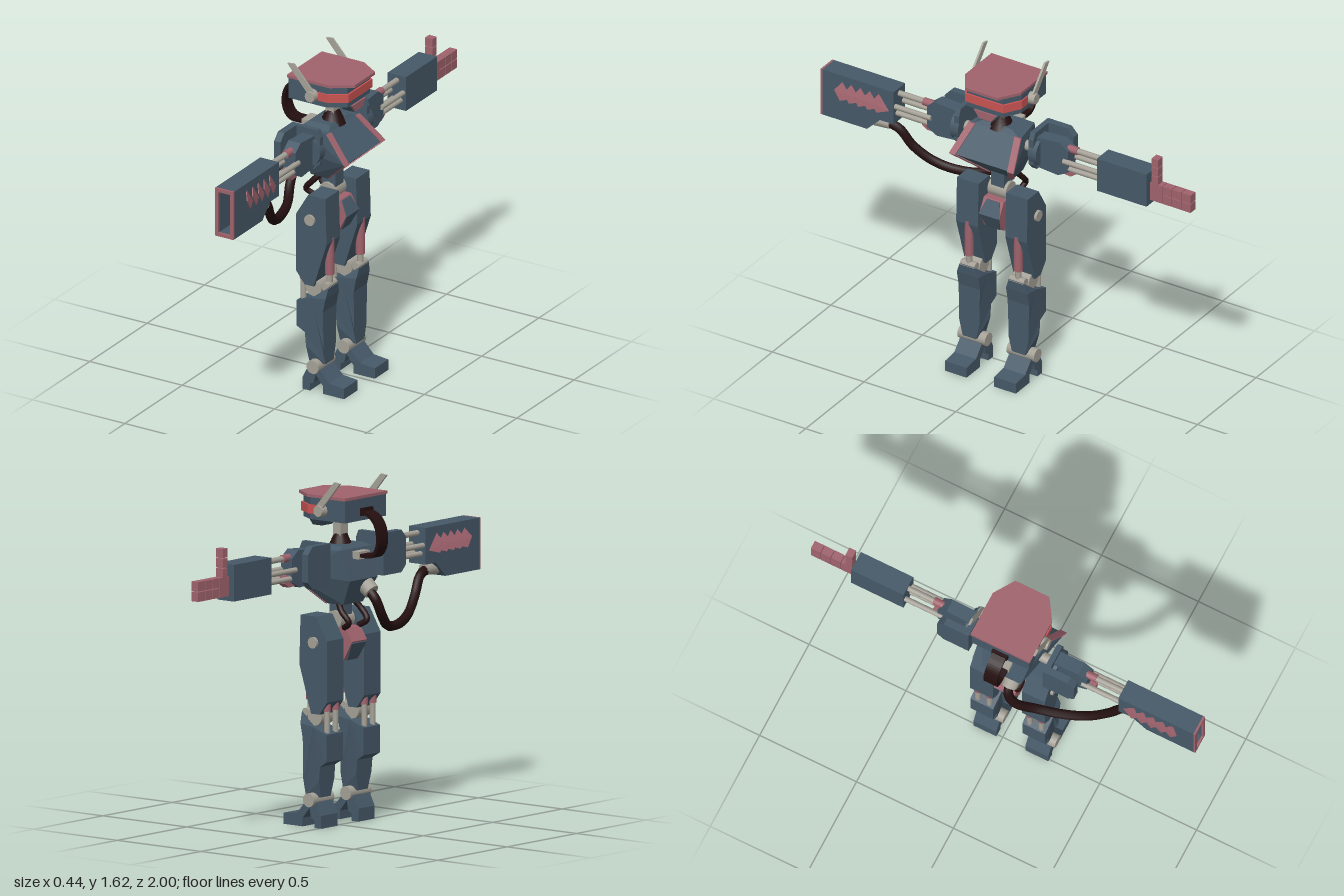
import * as THREE from 'three';
import { ConvexGeometry } from 'three/addons/geometries/ConvexGeometry.js';

const material = (name, color) => {
  const m = new THREE.MeshStandardMaterial({ color });
  m.name = name;
  return m;
};

export function createModel() {
  const blue = material('slate blue armour', 0x465968);
  const pink = material('dusty pink trim', 0xa0636d);
  const red = material('red visor', 0xc95452);
  const grey = material('warm grey metal', 0xa5a197);
  const dark = material('dark rubber', 0x240f10);

  const root = new THREE.Group();
  root.name = 'robot';
  // The body's middle plane lies a little left of centre; parts use z from that plane
  const body = new THREE.Group();
  body.name = 'body';
  body.position.z = 0.047;
  root.add(body);

  const V = (p) => new THREE.Vector3(...p);
  const add = (name, geo, mat) => {
    const mesh = new THREE.Mesh(geo, mat);
    mesh.name = name;
    body.add(mesh);
    return mesh;
  };
  const box = (name, mat, x0, x1, y0, y1, z0, z1) => {
    const g = new THREE.BoxGeometry(Math.abs(x1 - x0), Math.abs(y1 - y0), Math.abs(z1 - z0));
    return add(name, g.translate((x0 + x1) / 2, (y0 + y1) / 2, (z0 + z1) / 2), mat);
  };
  const shape = (pts) => new THREE.Shape(pts.map(([a, b]) => new THREE.Vector2(a, b)));
  // Side profile in x,y, thick in z
  const side = (name, mat, pts, depth, z) => {
    const g = new THREE.ExtrudeGeometry(shape(pts), { depth, bevelEnabled: false });
    return add(name, g.translate(0, 0, z - depth / 2), mat);
  };
  // Profile in z,y, thick in x
  const front = (name, mat, pts, depth, x) => {
    const g = new THREE.ExtrudeGeometry(shape(pts), { depth, bevelEnabled: false });
    return add(name, g.translate(0, 0, -depth / 2).rotateY(-Math.PI / 2).translate(x, 0, 0), mat);
  };
  const rod = (name, mat, a, b, r, r2 = r, sides = 12) => {
    const p = V(a), q = V(b), d = q.clone().sub(p);
    const mesh = add(name, new THREE.CylinderGeometry(r2, r, d.length(), sides), mat);
    mesh.position.copy(p).add(q).multiplyScalar(0.5);
    mesh.quaternion.setFromUnitVectors(new THREE.Vector3(0, 1, 0), d.normalize());
    return mesh;
  };
  const hose = (name, pts, r, n = 48) =>
    add(name, new THREE.TubeGeometry(new THREE.CatmullRomCurve3(pts.map(V)), n, r, 8), dark);
  // Convex block from x,y,halfWidth points mirrored over the middle plane
  const block = (name, mat, pts) =>
    add(name, new ConvexGeometry(pts.flatMap(([x, y, w]) => [V([x, y, w]), V([x, y, -w])])), mat);
  const flat = (name, mat, pts, depth, y) => { // outline in x,z, thick in y
    const g = new THREE.ExtrudeGeometry(shape(pts), { depth, bevelEnabled: false });
    return add(name, g.rotateX(Math.PI / 2).translate(0, y, 0), mat);
  };

  // Head with cut front corners
  const octagon = (x0, x1, w, cx, cz) =>
    [[x0, -w], [x1 - cx, -w], [x1, -w + cz], [x1, w - cz], [x1 - cx, w], [x0, w]];
  flat('head', blue, octagon(-0.115, 0.175, 0.148, 0.08, 0.05), 0.103, 1.53);
  flat('headTop', pink, octagon(-0.12, 0.208, 0.153, 0.1, 0.065), 0.014, 1.544);
  flat('visor', red, octagon(0.05, 0.183, 0.154, 0.08, 0.05), 0.042, 1.496);
  block('jaw', blue, [[0.06, 1.43, 0.07], [0.165, 1.43, 0.07], [0.17, 1.415, 0.065],
    [0.17, 1.38, 0.035], [0.115, 1.38, 0.035]]);
  front('jawPlate', pink, [[-0.06, 1.42], [0.06, 1.42], [0.033, 1.383], [-0.033, 1.383]], 0.008, 0.172);
  for (const s of [-1, 1]) {
    rod('ear', grey, [0.02, 1.474, s * 0.14], [0.02, 1.474, s * 0.182], 0.032, 0.026);
    side('antenna', grey, [[0, 1.49], [-0.105, 1.613], [-0.07, 1.617], [0.035, 1.5]], 0.01, s * 0.168);
  }

  // Neck post and bellows
  box('neckPost', grey, 0.012, 0.056, 1.33, 1.43, -0.028, 0.028);
  for (let i = 0; i < 5; i++) {
    const r = 0.062 - i * 0.006;
    add('neckBellows', new THREE.CylinderGeometry(r * 0.8, r, 0.015, 16).translate(0.034, 1.29 + i * 0.013, 0), dark);
  }

  // Flat cable behind the head: a ribbon outline given width
  const cable = new THREE.CatmullRomCurve3([[-0.12, 1.467, 0], [-0.17, 1.447, 0], [-0.205, 1.4, 0],
    [-0.212, 1.32, 0], [-0.18, 1.268, 0], [-0.1, 1.262, 0]].map(V));
  const outer = [], inner = [];
  for (let i = 0; i <= 24; i++) {
    const p = cable.getPoint(i / 24), t = cable.getTangent(i / 24);
    outer.push([p.x - t.y * 0.008, p.y + t.x * 0.008]);
    inner.unshift([p.x + t.y * 0.008, p.y - t.x * 0.008]);
  }
  side('headCable', dark, [...outer, ...inner], 0.068, 0);
  box('cableSocket', dark, -0.13, -0.11, 1.45, 1.485, -0.04, 0.04);
  box('cablePort', grey, -0.11, -0.07, 1.245, 1.28, -0.04, 0.04);

  // Chest wedge and its trim
  block('torso', blue, [[-0.06, 1.29, 0.12], [0.085, 1.285, 0.14], [0.203, 1.167, 0.17],
    [0.05, 1.03, 0.075], [-0.105, 1.15, 0.1], [-0.04, 1.03, 0.07]]);
  block('collar', blue, [[-0.06, 1.285, 0.12], [0.085, 1.285, 0.12], [-0.04, 1.305, 0.08], [0.07, 1.305, 0.08]]);
  for (const s of [-1, 1]) {
    const strip = (a, b) => {
      const pts = [a, b].flatMap(([x, y, w0, w1]) =>
        [0, 0.008].flatMap((d) => [V([x + d, y, s * w0]), V([x + d, y, s * w1])]));
      add('chestTrim', new ConvexGeometry(pts), pink);
    };
    strip([0.087, 1.285, 0.108, 0.143], [0.203, 1.167, 0.142, 0.176]);
    strip([0.203, 1.167, 0.142, 0.176], [0.05, 1.03, 0.05, 0.08]);
  }

  // Waist, pelvis and hoses
  box('waist', blue, -0.005, 0.07, 0.95, 1.07, -0.035, 0.035);
  rod('waistJoint', grey, [0.033, 0.95, -0.05], [0.033, 0.95, 0.05], 0.045);
  side('pelvis', pink, [[-0.04, 0.92], [0.1, 0.92], [0.14, 0.85], [0.1, 0.77], [-0.03, 0.77], [-0.08, 0.86]], 0.108, 0);
  for (const [m, x] of [[0.033, 1], [0.033, -1]]) {
    block('pelvisGuard', blue, [[m + x * 0.06, 0.915, 0.035], [m + x * 0.075, 0.915, 0.035],
      [m + x * 0.112, 0.85, 0.055], [m + x * 0.07, 0.768, 0.035], [m + x * 0.055, 0.768, 0.035]]);
  }
  rod('hosePort', grey, [-0.06, 1.13, 0.045], [-0.115, 1.085, 0.045], 0.045, 0.038);
  hose('cannonHose', [[-0.09, 1.1, 0.045], [-0.135, 1.05, 0.05], [-0.14, 0.97, 0.09], [-0.1, 0.91, 0.18],
    [-0.065, 0.9, 0.3], [-0.03, 0.93, 0.41], [0.005, 1.0, 0.5], [0.025, 1.08, 0.56], [0.035, 1.105, 0.62]], 0.023, 80);
  for (const s of [-1, 1]) {
    hose('waistHose', [[0.02, 1.06, s * 0.04], [-0.03, 1.0, s * 0.07], [-0.07, 0.95, s * 0.065],
      [-0.03, 0.92, s * 0.05]], 0.014, 24);
  }

  // Legs
  const shinHalf = (y) => (y > 0.5 ? 0.04 : y > 0.29 ? 0.059 : y > 0.2 ? 0.055 : 0.036);
  for (const s of [-1, 1]) {
    const z = s * 0.134;
    side('thigh', blue, [[-0.045, 0.876], [0.02, 0.985], [0.113, 0.985], [0.12, 0.756], [0.05, 0.53],
      [0, 0.53], [-0.045, 0.59]], 0.118, z);
    rod('hipAxle', grey, [0.033, 0.863, s * 0.045], [0.033, 0.863, s * 0.206], 0.027);
    rod('thighPiston', pink, [0.1, 0.77, z], [0.1, 0.585, z], 0.022);
    rod('pistonRod', grey, [0.1, 0.6, z], [0.1, 0.5, z], 0.015);
    rod('pistonFoot', grey, [0.1, 0.53, z - 0.04], [0.1, 0.53, z + 0.04], 0.02);
    rod('knee', grey, [0.04, 0.515, z - 0.045], [0.04, 0.515, z + 0.045], 0.042);
    for (const d of [-0.03, 0.03]) {
      rod('calfRod', grey, [-0.022, 0.56, z + d], [-0.022, 0.42, z + d], 0.014);
      rod('calfSleeve', pink, [-0.02, 0.6, z + d], [-0.022, 0.545, z + d], 0.018);
    }
    const shin = side('shin', blue, [[0.12, 0.534], [0.114, 0.48], [0.1, 0.41], [0.1, 0.29], [0.1, 0.22], [0.1, 0.14],
      [0.012, 0.14], [0.006, 0.22], [0, 0.286], [-0.042, 0.312], [-0.042, 0.44], [0.04, 0.47]], 0.118, 0);
    const p = shin.geometry.attributes.position;
    for (let i = 0; i < p.count; i++) p.setZ(i, Math.sign(p.getZ(i)) * shinHalf(p.getY(i)));
    shin.geometry.computeVertexNormals();
    shin.position.z = z;
    rod('ankle', grey, [0.053, 0.128, z - 0.075], [0.053, 0.128, z + 0.075], 0.033);
    side('foot', blue, [[-0.01, 0], [-0.01, 0.06], [0.02, 0.12], [0.085, 0.115], [0.135, 0.06], [0.215, 0.052],
      [0.215, 0], [0.1, 0], [0.1, 0.04], [0.06, 0.09], [0.05, 0.045], [0.03, 0.035], [0.03, 0]], 0.118, z);
  }

  // Shoulders, upper arms and elbow linkages
  const ax = 0.037;
  for (const s of [-1, 1]) {
    const m = (pts) => pts.map(([a, b]) => [a * s, b]);
    rod('shoulderAxle', grey, [ax, 1.225, s * 0.1], [ax, 1.225, s * 0.2], 0.025);
    side('shoulderPlate', blue, [[-0.065, 1.137], [-0.065, 1.335], [0.085, 1.335], [0.1, 1.3], [0.1, 1.17], [0.07, 1.137]],
      0.026, s * 0.203);
    front('shoulderGuard', blue, m([[0.19, 1.137], [0.19, 1.335], [0.32, 1.335], [0.353, 1.3], [0.353, 1.17], [0.32, 1.137]]),
      0.035, -0.047);
    rod('shoulderDisc', blue, [ax, 1.225, s * 0.19], [ax, 1.225, s * 0.235], 0.073, 0.073, 20);
    front('upperArm', blue, m([[0.21, 1.15], [0.21, 1.305], [0.34, 1.315], [0.385, 1.28], [0.385, 1.17], [0.33, 1.14]]),
      0.066, ax);
    rod('upperLink', grey, [ax, 1.28, s * 0.35], [ax, 1.28, s * 0.57], 0.014);
    rod('elbowPiston', pink, [ax, 1.28, s * 0.37], [ax, 1.28, s * 0.42], 0.019);
    front('elbowFork', pink, m([[0.34, 1.15], [0.38, 1.2], [0.42, 1.2], [0.42, 1.165], [0.39, 1.145]]), 0.04, ax);
    for (const d of [-0.034, 0.034]) {
      rod('elbowRod', grey, [ax + d, 1.225, s * 0.36], [ax + d, 1.225, s * 0.57], 0.013);
      rod('elbowRod', grey, [ax + d * 0.6, 1.185, s * 0.38], [ax + d * 0.6, 1.185, s * 0.57], 0.013);
    }
  }

  // Right forearm and hand
  box('forearm', blue, -0.012, 0.087, 1.137, 1.308, -0.824, -0.553);
  box('palm', pink, 0.017, 0.058, 1.16, 1.252, -0.89, -0.82);
  for (let j = 0; j < 3; j++) {
    for (const y of [1.16, 1.208]) {
      const z = -0.893 - j * 0.052;
      box('finger', pink, 0.017, 0.058, y, y + 0.044, z, z - 0.049);
    }
    box('thumb', pink, 0.017, 0.058, 1.25 + j * 0.046, 1.292 + j * 0.046, -0.868, -0.833);
  }

  // Left arm cannon with a hollow muzzle
  front('cannon', blue, [[0.556, 1.308], [0.556, 1.137], [0.63, 1.137], [0.7, 1.067], [0.82, 1.067], [0.82, 1.308]], 0.1, ax);
  const ring = (name, mat, z0, z1, t) => {
    const outline = shape([[-0.013, 1.067], [0.087, 1.067], [0.087, 1.308], [-0.013, 1.308]]);
    outline.holes.push(new THREE.Path([[-0.013 + t, 1.067 + t], [-0.013 + t, 1.308 - t],
      [0.087 - t, 1.308 - t], [0.087 - t, 1.067 + t]].map(([a, b]) => new THREE.Vector2(a, b))));
    add(name, new THREE.ExtrudeGeometry(outline, { depth: z1 - z0, bevelEnabled: false }).translate(0, 0, z0), mat);
  };
  ring('cannonBarrel', blue, 0.82, 0.943, 0.015);
  ring('muzzleFrame', pink, 0.943, 0.953, 0.018);
  rod('hoseSocket', grey, [ax, 1.105, 0.6], [ax, 1.11, 0.68], 0.028, 0.038);

  // Slanted vent fins on both sides of the cannon
  for (const d of [-1, 1]) {
    for (let i = 0; i < 5; i++) {
      const z = 0.575 + i * 0.05;
      const x = ax + d * 0.05;
      const pts = [[0, 0.06, 1.275], [0, 0.005, 1.2], [0.022, 0.06, 1.185], [0.022, 0.09, 1.235]];
      const ends = pts.flatMap(([o, a, y]) => [V([x + d * o, y, z + a]), V([x + d * (o - 0.005), y, z + a])]);
      add('ventFin', new ConvexGeometry(ends), pink);
    }
  }
  return root;
}
